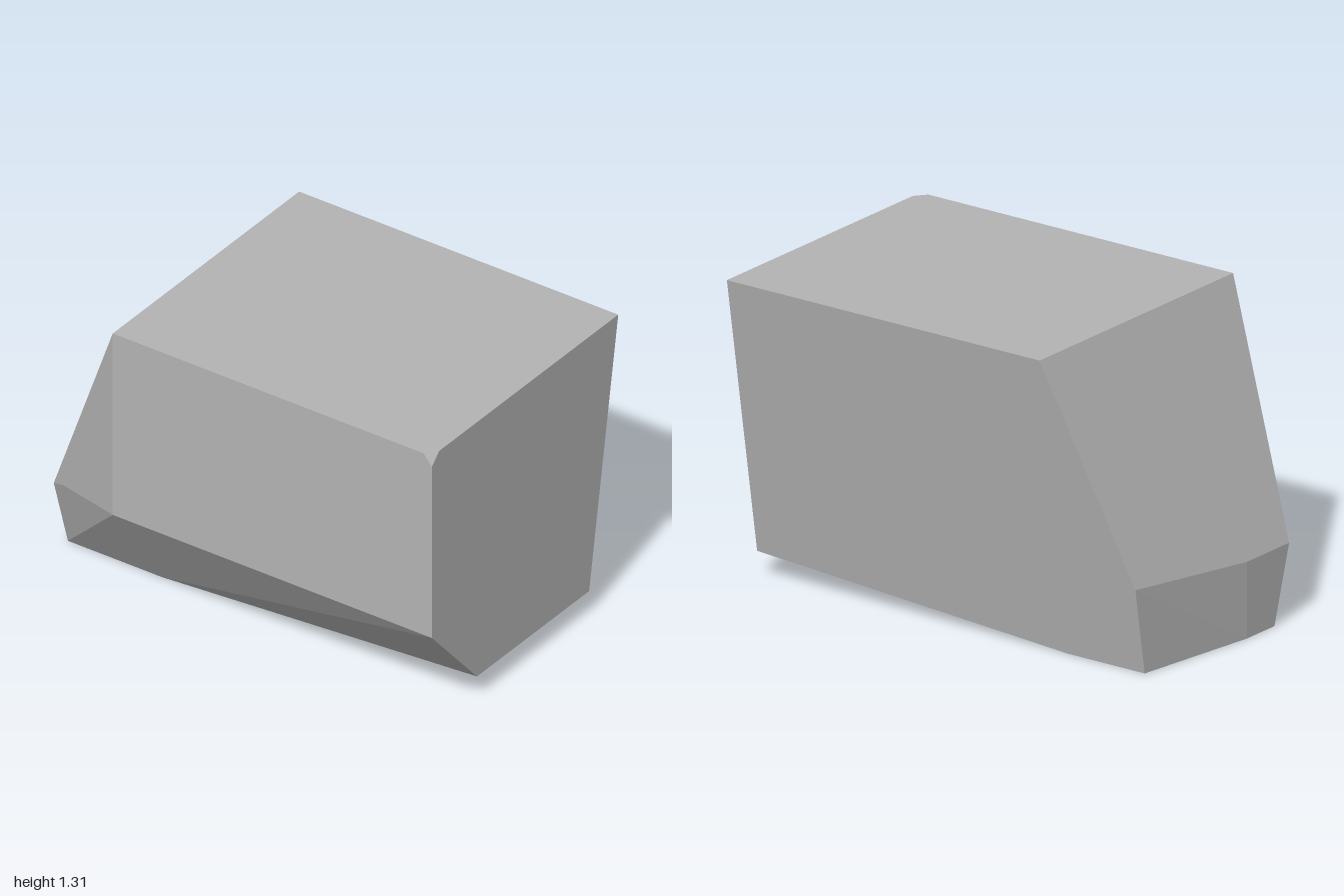
import * as THREE from 'three';
import { ConvexGeometry } from 'three/addons/geometries/ConvexGeometry.js';

export function createModel() {
  const model = new THREE.Group();
  model.name = 'cutBlock';

  const grey = new THREE.MeshStandardMaterial({ color: 0xb3b3b3 });
  grey.name = 'plain grey';

  const corners = [
    // front face, with a small clipped top corner
    [-0.64, 0.45, 1], [-0.33, 0.105, 1], [0.44, 0.105, 1],
    [0.64, 1.31, 1], [-0.59, 1.31, 1], [-0.64, 1.26, 1], [-0.64, 1.31, 0.96],
    // where the flat top and the upright side end
    [-0.64, 1.31, -0.56], [0.64, 1.31, -0.56], [-0.64, 0.45, -0.56],
    // flat base
    [-0.33, 0, -0.54], [0.4225, 0, -0.54],
    [-0.33, 0, -1], [-0.147, 0, -1], [0.4225, 0, -0.92],
    // foot of the sloping back
    [-0.475, 0.37, -0.92], [-0.427, 0.325, -1], [-0.147, 0.325, -1], [0.484, 0.37, -0.92],
  ].map((p) => new THREE.Vector3(...p));

  // one solid, flat-faced block spanning the corners
  const block = new THREE.Mesh(new ConvexGeometry(corners), grey);
  block.name = 'block';
  model.add(block);

  return model;
}
